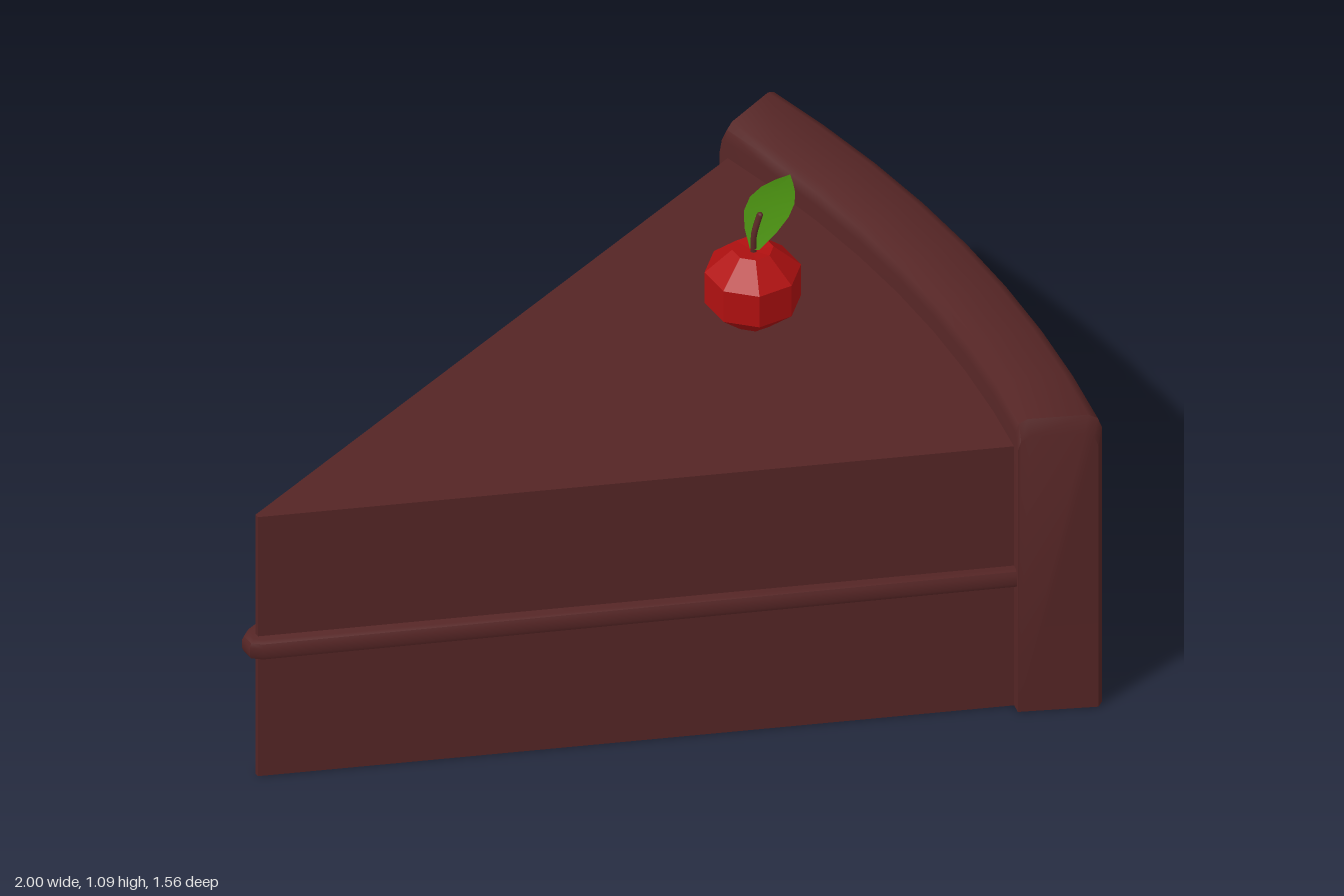
import * as THREE from 'three';
import { toCreasedNormals } from 'three/addons/utils/BufferGeometryUtils.js';

const mat = (name, color) => new THREE.MeshStandardMaterial({ name, color });

// Horizontal slab from half an outline (x, z), mirrored across z = 0
function slab(half, y, height, bevel = 0) {
  const back = half.filter(p => p[1] > 0).reverse().map(([x, z]) => [x, -z]);
  const shape = new THREE.Shape([...back, ...half].reverse().map(([x, z]) => new THREE.Vector2(x, z)));
  const geo = new THREE.ExtrudeGeometry(shape, {
    depth: height - 2 * bevel, bevelEnabled: bevel > 0,
    bevelThickness: bevel, bevelSize: bevel, bevelSegments: 2,
  });
  geo.rotateX(-Math.PI / 2);
  geo.translate(0, y + bevel, 0);
  return toCreasedNormals(geo, 0.7);
}

// Surface through rows of points; closed rows get end caps
function loft(rows, closed) {
  const n = rows[0].length, index = [];
  for (let i = 0; i < rows.length - 1; i++) {
    for (let k = 0; k < (closed ? n : n - 1); k++) {
      const a = i * n + k, b = i * n + (k + 1) % n, c = a + n, d = b + n;
      index.push(a, c, b, b, c, d);
    }
  }
  if (closed) {
    const e = (rows.length - 1) * n;
    for (let k = 1; k < n - 1; k++) index.push(0, k, k + 1, e, e + k + 1, e + k);
  }
  const geo = new THREE.BufferGeometry();
  geo.setAttribute('position', new THREE.Float32BufferAttribute(rows.flat(2), 3));
  geo.setIndex(index);
  return geo;
}

// Curved wall of frosting with a bevelled top and ends
function frostingGeometry() {
  const rows = [];
  const stations = [-1, -0.975, -0.75, -0.5, -0.25, 0, 0.25, 0.5, 0.75, 0.975, 1];
  for (const t of stations) {
    const end = Math.abs(t) === 1;
    const inner = [0.8 - 0.08 * t * t, 0.7 * t];
    const outer = [1 - 0.09 * t * t, 0.785 * t];
    const top = end ? 0.81 : 0.85;
    const out = end ? 0.93 : 1;
    const profile = [
      [0, 0], [0, top - 0.04], [0.04, top - 0.012], [0.14, top],
      [out - 0.16, top], [out - 0.05, top - 0.012], [out, top - 0.04], [out, 0],
    ];
    rows.push(profile.map(([u, y]) => [
      inner[0] + (outer[0] - inner[0]) * u, y, inner[1] + (outer[1] - inner[1]) * u,
    ]));
  }
  return toCreasedNormals(loft(rows, true), 0.8);
}

// Pointed leaf, arched along its length and folded at the midrib
function leafGeometry() {
  const rows = [];
  const widths = [0.012, 0.04, 0.055, 0.055, 0.042, 0.022, 0.001];
  widths.forEach((w, i) => {
    const t = i / (widths.length - 1);
    const x = 0.44 + 0.23 * t, z = -0.06 - 0.225 * t;
    const y = 0.988 + 0.1 * t * (1 - t) - 0.006 * t;
    rows.push([-1, 0, 1].map(s => [x + s * w * 0.7, y + (s ? w * 0.2 : 0), z + s * w * 0.71]));
  });
  const geo = loft(rows, false);
  geo.computeVertexNormals();
  return geo;
}

export function createModel() {
  const chocolate = mat('chocolate', 0x552525);
  const red = mat('cherry red', 0xb01010);
  const brown = mat('stem brown', 0x5c2a26);
  const green = mat('leaf green', 0x45870f);
  green.side = THREE.DoubleSide;

  const model = new THREE.Group();
  model.name = 'cakeSlice';
  const add = (name, geo, material, parent = model) => {
    const mesh = new THREE.Mesh(geo, material);
    mesh.name = name;
    parent.add(mesh);
  };

  // Two sponge layers with a slightly wider cream band between them
  const wedge = [[-0.97, 0.006], [0.75, 0.682], [0.83, 0]];
  add('lowerLayer', slab(wedge, 0, 0.37), chocolate);
  add('upperLayer', slab(wedge, 0.4, 0.365), chocolate);
  const band = [[-0.985, 0.012], [-0.968, 0.026], [0.745, 0.691], [0.83, 0]];
  add('creamFilling', slab(band, 0.36, 0.053, 0.015), chocolate);

  // Frosting at the wide end
  add('backFrosting', frostingGeometry(), chocolate);

  // Faceted cherry with stem and leaf
  const cherry = new THREE.Group();
  cherry.name = 'cherry';
  model.add(cherry);
  const outline = [[0, -0.107], [0.05, -0.105], [0.116, -0.045], [0.116, 0.045], [0.05, 0.105], [0, 0.098]];
  let fruit = new THREE.LatheGeometry(outline.map(p => new THREE.Vector2(...p)), 8, Math.PI / 8);
  fruit = fruit.toNonIndexed();
  fruit.computeVertexNormals();
  fruit.translate(0.442, 0.88, -0.072);
  add('cherryFruit', fruit, red, cherry);

  const stemPath = new THREE.CatmullRomCurve3([
    new THREE.Vector3(0.442, 0.97, -0.068),
    new THREE.Vector3(0.442, 1.03, -0.066),
    new THREE.Vector3(0.457, 1.083, -0.064),
  ]);
  add('cherryStem', new THREE.TubeGeometry(stemPath, 6, 0.008, 6), brown, cherry);
  // Small cap closing the stem tip
  const tip = new THREE.SphereGeometry(0.008, 6, 4);
  tip.translate(0.457, 1.082, -0.064);
  add('stemTip', tip, brown, cherry);
  add('cherryLeaf', leafGeometry(), green, cherry);

  return model;
}
